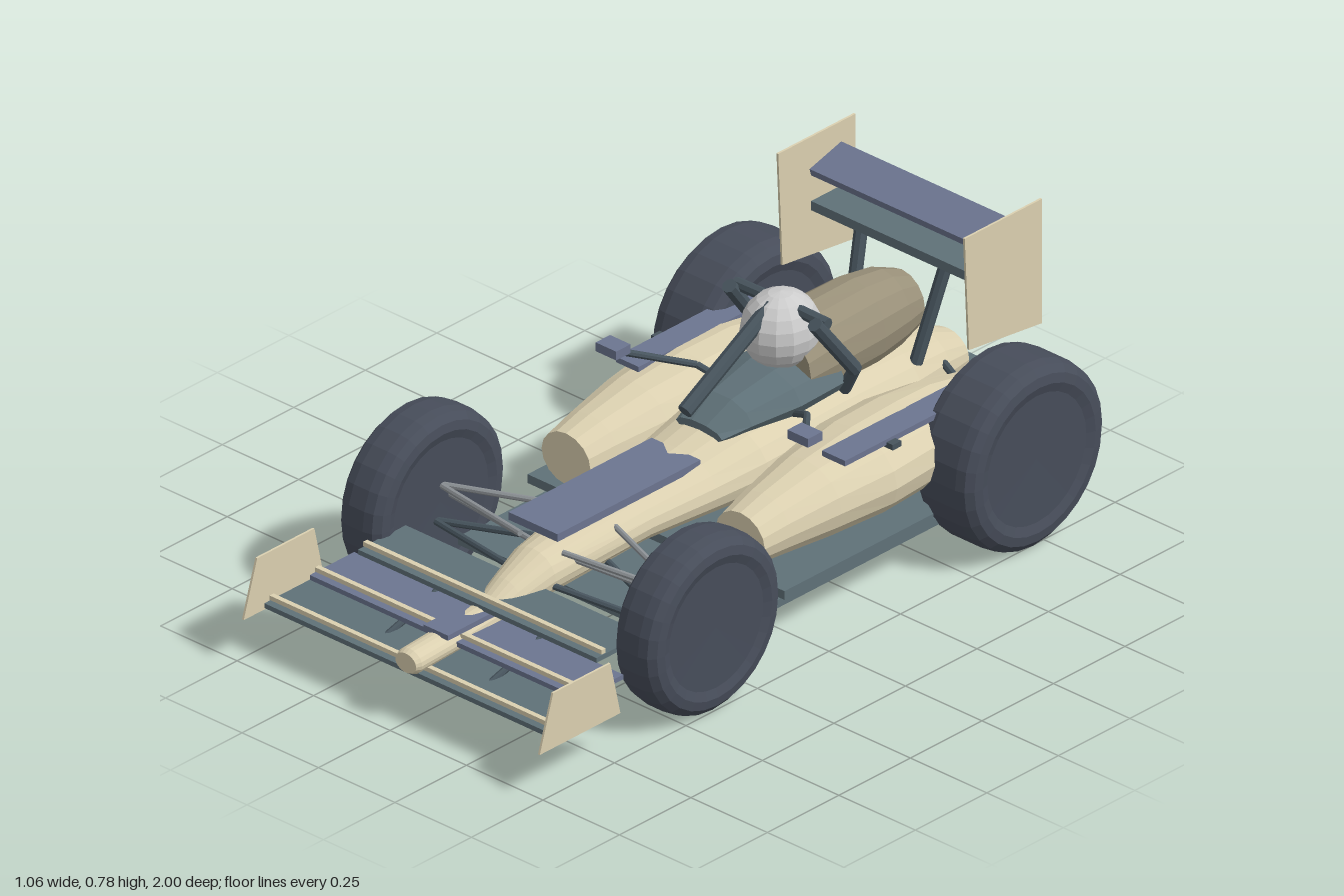
import * as THREE from 'three';

const paint = (color) => new THREE.MeshStandardMaterial({ color, flatShading: true, side: THREE.DoubleSide });
const cream = paint(0xdbd0b0), olive = paint(0x9a917a), teal = paint(0x5f7178), blue = paint(0x6c7590);
const dark = paint(0x47545d), rubber = paint(0x474d5a), grey = paint(0x8d9296), white = paint(0xeeeeee);

export function createModel() {
  const car = new THREE.Group();
  car.name = 'raceCar';

  const add = (name, geometry, material) => {
    const mesh = new THREE.Mesh(geometry, material);
    mesh.name = name;
    car.add(mesh);
    return mesh;
  };
  // Box given by its extents along each axis
  const box = (name, material, [x0, x1], [y0, y1], [z0, z1]) => {
    const mesh = add(name, new THREE.BoxGeometry(x1 - x0, y1 - y0, z1 - z0), material);
    mesh.position.set((x0 + x1) / 2, (y0 + y1) / 2, (z0 + z1) / 2);
    return mesh;
  };
  // Round bar between two points
  const rod = (name, material, from, to, radius, sides = 8) => {
    const a = new THREE.Vector3(...from), b = new THREE.Vector3(...to);
    const mesh = add(name, new THREE.CylinderGeometry(radius, radius, a.distanceTo(b), sides), material);
    mesh.position.copy(a).lerp(b, 0.5);
    mesh.quaternion.setFromUnitVectors(new THREE.Vector3(0, 1, 0), b.sub(a).normalize());
    return mesh;
  };
  // Closed skin over elliptical sections [z, x, y, rx, ry], listed front to back
  const loft = (name, material, sections, sides = 16) => {
    const pos = [], index = [], last = (sections.length - 1) * sides;
    for (const [z, x, y, rx, ry] of sections) {
      for (let j = 0; j < sides; j++) {
        const t = (j / sides) * Math.PI * 2;
        pos.push(x + rx * Math.cos(t), y + ry * Math.sin(t), z);
      }
    }
    const front = pos.length / 3;
    for (const [z, x, y] of [sections[0], sections[sections.length - 1]]) pos.push(x, y, z);
    for (let j = 0; j < sides; j++) {
      const k = (j + 1) % sides;
      for (let r = 0; r < last; r += sides) {
        index.push(r + j, r + sides + j, r + k, r + k, r + sides + j, r + sides + k);
      }
      index.push(front, j, k, front + 1, last + k, last + j);
    }
    const geometry = new THREE.BufferGeometry();
    geometry.setAttribute('position', new THREE.Float32BufferAttribute(pos, 3));
    geometry.setIndex(index);
    geometry.computeVertexNormals();
    return add(name, geometry, material);
  };
  // Thin upright plate drawn in [z, y]
  const plate = (name, material, x, points, thickness = 0.006) => {
    const shape = new THREE.Shape(points.map(([z, y]) => new THREE.Vector2(-z, y)));
    const geometry = new THREE.ExtrudeGeometry(shape, { depth: thickness, bevelEnabled: false });
    const mesh = add(name, geometry.translate(0, 0, -thickness / 2).rotateY(Math.PI / 2), material);
    mesh.position.x = x;
    return mesh;
  };
  const wheel = (name, x, z, radius, width, y) => {
    const h = width / 2, r = radius;
    const profile = [[0, -h + 0.01], [r * 0.7, -h + 0.008], [r * 0.8, -h], [r * 0.9, -h + 0.004], [r * 0.975, -h + 0.02], [r, -h + 0.045]];
    const points = [...profile, ...profile.map(([a, b]) => [a, -b]).reverse()].map((p) => new THREE.Vector2(...p));
    const mesh = add(name, new THREE.LatheGeometry(points, 28).rotateZ(Math.PI / 2), rubber);
    mesh.position.set(x, y, z);
  };

  // Main body and engine cover
  loft('monocoque', cream, [
    [0.945, 0, 0.165, 0.034, 0.026], [0.93, 0, 0.165, 0.04, 0.033], [0.8, 0, 0.172, 0.042, 0.033], [0.66, 0, 0.185, 0.045, 0.036],
    [0.6, 0, 0.205, 0.055, 0.05], [0.5, 0, 0.235, 0.075, 0.062], [0.2, 0, 0.275, 0.112, 0.068],
    [0, 0, 0.285, 0.142, 0.085], [-0.15, 0, 0.295, 0.165, 0.105], [-0.45, 0, 0.3, 0.165, 0.11],
    [-0.7, 0, 0.29, 0.15, 0.105], [-0.85, 0, 0.27, 0.105, 0.085], [-0.95, 0, 0.25, 0.07, 0.06],
  ], 20);
  loft('engineCover', olive, [
    [-0.36, 0, 0.45, 0.105, 0.1], [-0.45, 0, 0.46, 0.115, 0.118], [-0.62, 0, 0.46, 0.108, 0.12], [-0.72, 0, 0.46, 0.095, 0.105], [-0.79, 0, 0.455, 0.075, 0.08],
  ]);
  box('noseTopPanel', blue, [-0.08, 0.08], [0.345, 0.366], [0, 0.5]);
  box('noseTipPanel', blue, [-0.04, 0.04], [0.198, 0.212], [0.64, 0.84]);

  // Cockpit surround and driver's helmet
  loft('cockpitSurround', teal, [
    [-0.08, 0, 0.385, 0.075, 0.02], [-0.16, 0, 0.4, 0.1, 0.05], [-0.3, 0, 0.41, 0.13, 0.068], [-0.46, 0, 0.41, 0.125, 0.065],
  ], 10);
  const helmet = add('helmet', new THREE.SphereGeometry(0.098, 14, 10), white);
  helmet.position.set(0, 0.55, -0.365);
  helmet.scale.set(0.98, 1.02, 1.05);

  // Floor
  box('lowerFloor', teal, [-0.385, 0.385], [0.1, 0.122], [-0.9, 0.35]);
  const floorShape = new THREE.Shape([[-0.42, -0.07], [0.42, -0.07], [0.42, 0.45], [0.34, 0.5], [0.34, 0.9], [-0.34, 0.9], [-0.34, 0.5], [-0.42, 0.45]].map((p) => new THREE.Vector2(...p)));
  const upperFloor = add('upperFloor', new THREE.ExtrudeGeometry(floorShape, { depth: 0.024, bevelEnabled: false }).rotateX(-Math.PI / 2), teal);
  upperFloor.position.y = 0.141;

  // Diffuser
  box('diffuserBeam', teal, [-0.305, 0.305], [0.19, 0.236], [-0.995, -0.94]);
  for (let i = -2; i <= 2; i++) box('diffuserFin', teal, [i * 0.095 - 0.006, i * 0.095 + 0.006], [0.08, 0.16], [-1, -0.86]);
  box('diffuserLink', dark, [-0.05, 0.05], [0.16, 0.2], [-0.96, -0.88]);

  // Front wing: three stepped planes, each with a cream strip
  const planes = [[teal, 0.39, 0.218, 0.53, 0.695, 0.67], [blue, 0.44, 0.176, 0.655, 0.81, 0.785], [teal, 0.482, 0.13, 0.765, 0.925, 0.9]];
  for (const [material, half, y, z0, z1, strip] of planes) {
    box('frontWingPlane', material, [-half, half], [y - 0.006, y + 0.007], [z0, z1]);
    box('frontWingStrip', cream, [-half, half], [y + 0.009, y + 0.021], [strip - 0.007, strip + 0.007]);
  }

  // Rear wing
  const flap = box('rearWingFlap', blue, [-0.302, 0.302], [0.69, 0.71], [-0.905, -0.79]);
  flap.rotation.x = 0.27;
  box('rearWingLowerPlane', teal, [-0.265, 0.265], [0.61, 0.635], [-0.87, -0.755]);

  // Cockpit guard centre post
  rod('guardPost', dark, [0, 0.455, -0.03], [0, 0.622, -0.33], 0.02);

  for (const s of [1, -1]) {
    // Wheels and axles
    wheel('frontWheel', s * 0.45, 0.407, 0.235, 0.14, 0.238);
    wheel('rearWheel', s * 0.435, -0.703, 0.247, 0.19, 0.25);
    rod('rearAxle', dark, [0, 0.25, -0.703], [s * 0.36, 0.25, -0.703], 0.018);

    // Suspension arms
    for (const z of [0.32, 0.5]) {
      rod('upperFrontArm', grey, [s * 0.07, 0.3, z - 0.03], [s * 0.4, 0.28, 0.4], 0.008);
      rod('lowerFrontArm', dark, [s * 0.07, 0.22, z], [s * 0.4, 0.19, 0.42], 0.009);
    }
    rod('steeringRod', grey, [s * 0.07, 0.265, 0.43], [s * 0.4, 0.245, 0.37], 0.008);
    for (const z of [-0.58, -0.83]) rod('rearArm', dark, [s * 0.1, 0.3, z], [s * 0.36, 0.3, -0.703], 0.01);

    // Sidepods with top panels
    loft('sidepod', cream, [
      [0.08, s * 0.285, 0.262, 0.08, 0.07], [0, s * 0.283, 0.27, 0.095, 0.083], [-0.15, s * 0.28, 0.28, 0.122, 0.103],
      [-0.32, s * 0.275, 0.288, 0.15, 0.113], [-0.48, s * 0.27, 0.29, 0.145, 0.113], [-0.62, s * 0.25, 0.282, 0.108, 0.103],
      [-0.76, s * 0.245, 0.27, 0.085, 0.085], [-0.84, s * 0.235, 0.262, 0.055, 0.055],
    ]);
    const span = (a, b) => (s > 0 ? [a, b] : [-b, -a]);
    box('sidepodPanel', blue, span(0.3, 0.375), [0.383, 0.398], [-0.64, -0.19]);
    box('sidepodTab', dark, span(0.35, 0.395), [0.375, 0.39], [-0.365, -0.335]);

    // Mirrors
    box('mirror', blue, span(0.28, 0.347), [0.464, 0.488], [-0.14, -0.09]);
    rod('mirrorStalk', dark, [s * 0.18, 0.42, -0.265], [s * 0.31, 0.467, -0.12], 0.009);
    rod('mirrorFoot', dark, [s * 0.1, 0.38, -0.3], [s * 0.18, 0.42, -0.265], 0.009);

    // Cockpit guard sides
    rod('guardTopBar', dark, [0, 0.615, -0.37], [s * 0.15, 0.612, -0.37], 0.016);
    rod('guardArm', dark, [s * 0.14, 0.622, -0.335], [s * 0.15, 0.452, -0.465], 0.019);
    rod('guardFoot', dark, [s * 0.15, 0.455, -0.465], [s * 0.11, 0.38, -0.47], 0.016);

    // Rear wing supports and end plates
    rod('rearWingPylon', dark, [s * 0.11, 0.35, -0.72], [s * 0.14, 0.615, -0.8], 0.017);
    plate('rearWingEndPlate', cream, s * 0.305, [[-0.68, 0.78], [-0.95, 0.78], [-0.95, 0.44], [-0.695, 0.47]]);

    // Front wing end plates and brackets
    plate('frontWingEndPlate', cream, s * 0.484, [[0.997, 0.12], [0.95, 0.27], [0.75, 0.27], [0.715, 0.12]]);
    rod('frontWingBracket', dark, [s * 0.17, 0.118, 0.87], [s * 0.17, 0.2, 0.58], 0.009);
  }
  return car;
}
